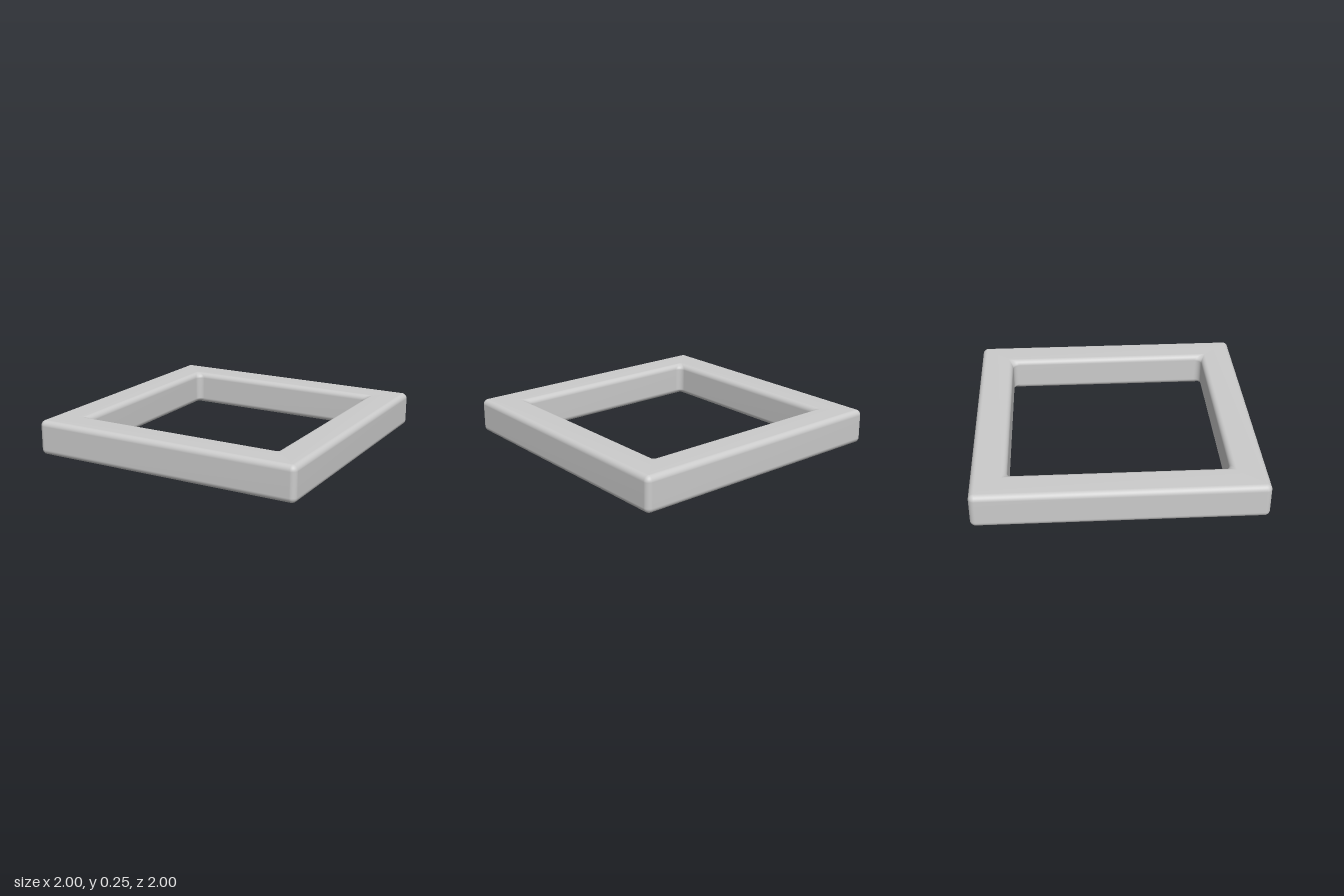
import * as THREE from 'three';

const BOTTOM = 0.003, TOP = 0.254;
const OUTER = 1, HOLE = 0.752;        // half widths
const EDGE = 0.04, HOLE_CORNER = 0.05; // rounding radii
const STEPS = 8;

// Cross-section of the bar: each entry is the half width, corner radius and height of one square ring
function barSection() {
  const rings = [];
  const low = BOTTOM + EDGE, high = TOP - EDGE;
  const arc = (outside, upper, from, to) => {
    for (let i = 0; i <= STEPS; i++) {
      const a = (from + (to - from) * i / STEPS) * Math.PI / 2;
      const c = Math.cos(a), s = Math.sin(a);
      rings.push({
        half: outside ? OUTER - EDGE * (1 - c) : HOLE + EDGE * (1 - c),
        radius: Math.max(0.001, (outside ? EDGE : HOLE_CORNER) * c),
        y: upper ? high + EDGE * s : low - EDGE * s,
      });
    }
  };
  arc(true, false, 1, 0);
  arc(true, true, 0, 1);
  arc(false, true, 1, 0);
  arc(false, false, 0, 1);
  return rings;
}

// Sweep the section around the square, rounding the four corners
function frameGeometry() {
  const rings = barSection();
  const positions = [], index = [];
  const count = 4 * (STEPS + 1);
  for (const { half, radius, y } of rings) {
    for (let corner = 0; corner < 4; corner++) {
      const mid = (corner + 0.5) * Math.PI / 2;
      const cx = Math.sign(Math.cos(mid)) * (half - radius);
      const cz = Math.sign(Math.sin(mid)) * (half - radius);
      for (let k = 0; k <= STEPS; k++) {
        const t = (corner + k / STEPS) * Math.PI / 2;
        positions.push(cx + radius * Math.cos(t), y, cz + radius * Math.sin(t));
      }
    }
  }
  for (let i = 0; i < rings.length; i++) {
    const a = i * count, b = ((i + 1) % rings.length) * count;
    for (let j = 0; j < count; j++) {
      const n = (j + 1) % count;
      index.push(a + j, b + j, a + n, b + j, b + n, a + n);
    }
  }
  const geometry = new THREE.BufferGeometry();
  geometry.setAttribute('position', new THREE.Float32BufferAttribute(positions, 3));
  geometry.setIndex(index);
  geometry.computeVertexNormals();
  return geometry;
}

export function createModel() {
  const group = new THREE.Group();
  group.name = 'squareFrame';
  const frame = new THREE.Mesh(frameGeometry(), new THREE.MeshStandardMaterial({ color: 0xcccccc }));
  frame.name = 'frame';
  group.add(frame);
  return group;
}
